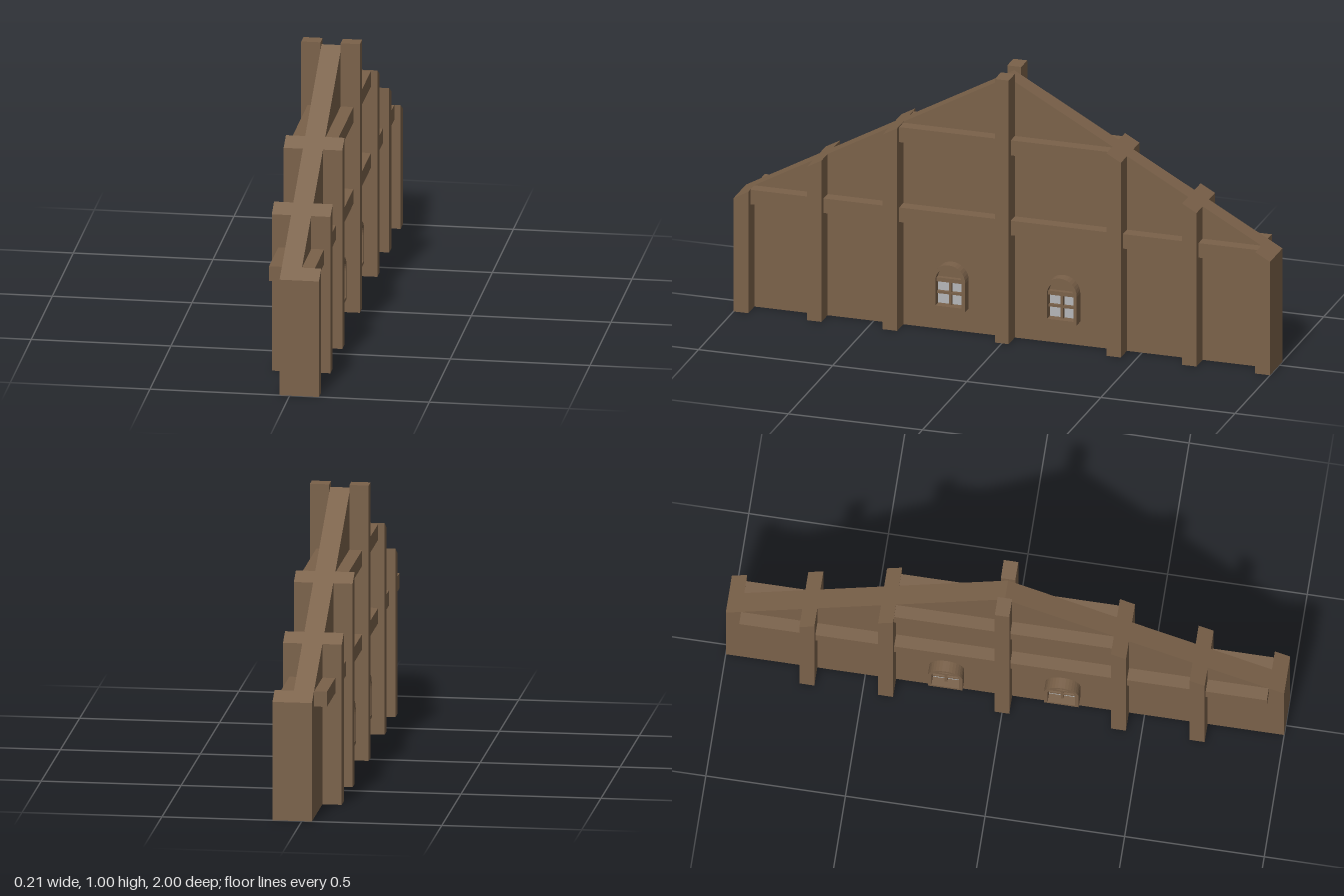
import * as THREE from 'three';

const T = 0.036;    // half thickness of the wall
const POST = 0.105; // outer face of the posts
const RAIL = 0.082; // outer face of the rails
const roofY = (z) => 0.985 - 0.555 * Math.abs(z);

export function createModel() {
  const wood = new THREE.MeshStandardMaterial({ color: 0x7a6149 });
  wood.name = 'brownWood';
  const glass = new THREE.MeshStandardMaterial({ color: 0xb4b6b8 });
  glass.name = 'paleGlass';
  const model = new THREE.Group();
  model.name = 'gableWall';

  // Extrudes a side outline (u = -z, y) from x0 to x1
  function slab(name, shape, x0, x1, parent = model, material = wood) {
    const geo = new THREE.ExtrudeGeometry(shape, { depth: x1 - x0, bevelEnabled: false, curveSegments: 8 });
    geo.rotateY(Math.PI / 2).translate(x0, 0, 0);
    const mesh = new THREE.Mesh(geo, material);
    mesh.name = name;
    parent.add(mesh);
  }
  const outline = (pts) => new THREE.Shape(pts.map(([u, y]) => new THREE.Vector2(u, y)));

  function box(name, x0, x1, y0, y1, z0, z1, parent = model) {
    const mesh = new THREE.Mesh(new THREE.BoxGeometry(x1 - x0, y1 - y0, z1 - z0), wood);
    mesh.position.set((x0 + x1) / 2, (y0 + y1) / 2, (z0 + z1) / 2);
    mesh.name = name;
    parent.add(mesh);
  }

  // Post whose top follows the roof slope, between two distances from the centre
  function slopedPost(name, end, a, b, x0, x1) {
    slab(name, outline([[-end * a, 0], [-end * b, 0], [-end * b, roofY(b)], [-end * a, roofY(a)]]), x0, x1);
  }

  // Round-headed outline
  function arch(shape, w, y0, spring) {
    shape.moveTo(-w, y0);
    shape.lineTo(w, y0);
    shape.lineTo(w, spring);
    shape.absarc(0, spring, w, 0, Math.PI, false);
    shape.lineTo(-w, y0);
    return shape;
  }

  // Gabled wall panel
  slab('wallPanel', outline([[-1, 0], [1, 0], [1, roofY(1)], [0, roofY(0)], [-1, roofY(1)]]), -T, T);

  // Corner posts stand on the left face only
  for (const end of [-1, 1]) slopedPost('cornerPost', end, 0.945, 1, T, POST);

  for (const side of [-1, 1]) {
    const span = (outer, inner = T) => (side > 0 ? [inner, outer] : [-outer, -inner]);

    // Posts
    box('centrePost', ...span(POST), 0, 1, -0.026, 0.026);
    for (const end of [-1, 1]) {
      slopedPost('innerPost', end, 0.39, 0.444, ...span(POST));
      slopedPost('outerPost', end, 0.672, 0.726, ...span(POST));
    }

    // Rails
    box('lowerRail', ...span(RAIL), 0.405, 0.46, -0.945, 0.945);
    box('upperRail', ...span(RAIL), 0.708, 0.765, -0.392, 0.392);

    // Arched windows
    for (const z of [-0.208, 0.208]) {
      const win = new THREE.Group();
      win.name = 'archedWindow';
      win.position.z = z;
      model.add(win);
      const frame = arch(new THREE.Shape(), 0.062, 0.09, 0.198);
      frame.holes.push(arch(new THREE.Path(), 0.049, 0.102, 0.198));
      slab('windowFrame', frame, ...span(0.076), win);
      const fan = new THREE.Shape();
      fan.absarc(0, 0.198, 0.05, 0, Math.PI, false);
      slab('archPanel', fan, ...span(0.048), win);
      slab('windowGlass', outline([[-0.05, 0.1], [0.05, 0.1], [0.05, 0.2], [-0.05, 0.2]]), ...span(0.044), win, glass);
      box('transom', ...span(0.064), 0.19, 0.205, -0.05, 0.05, win);
      box('glazingBar', ...span(0.056), 0.142, 0.151, -0.05, 0.05, win);
      box('mullion', ...span(0.056), 0.1, 0.2, -0.005, 0.005, win);
    }
  }
  return model;
}
